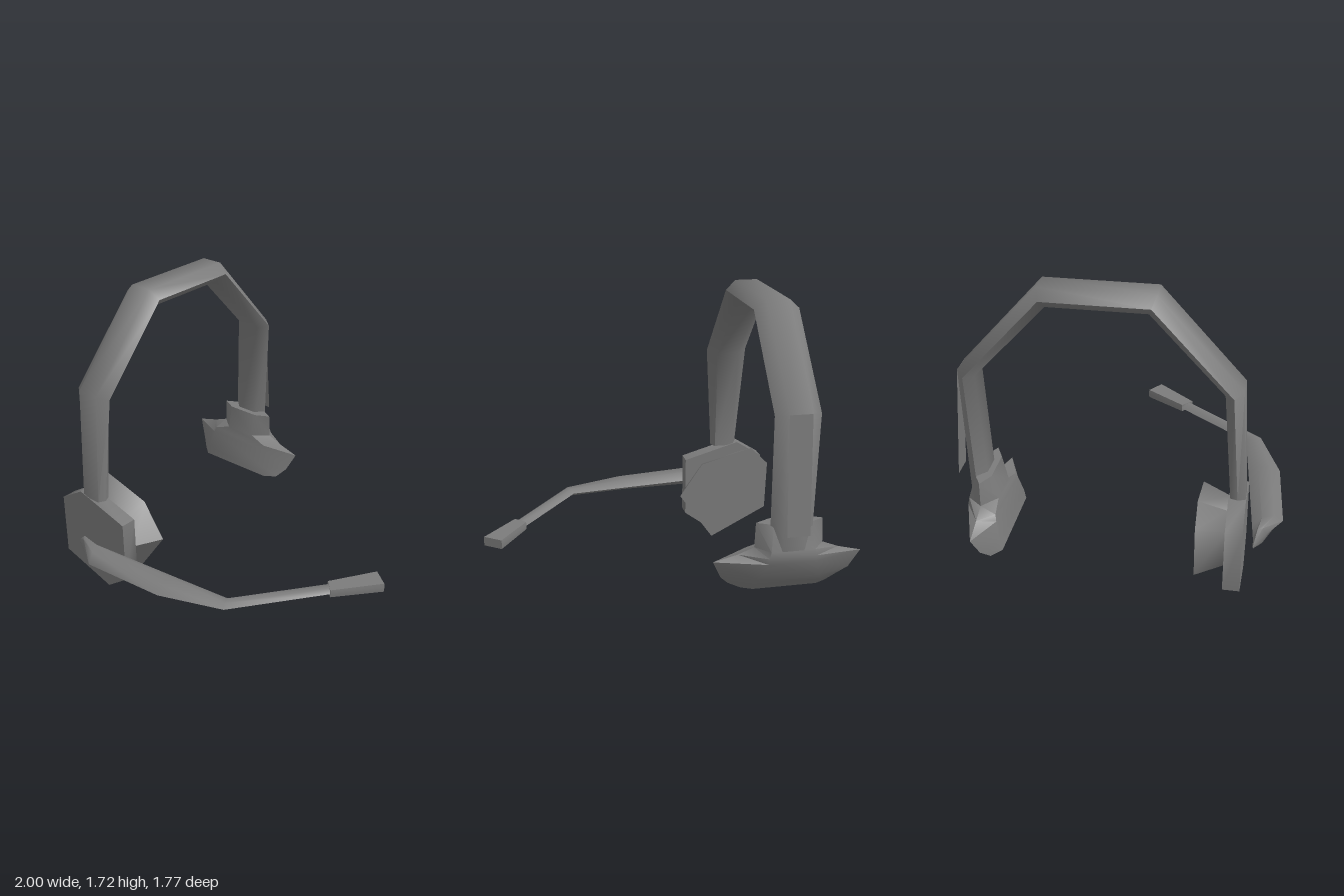
import * as THREE from 'three';
import { toCreasedNormals } from 'three/addons/utils/BufferGeometryUtils.js';

const CX = -0.585; // centre line of the headband

// Closed skin through a list of equal-sized rings of [x, y, z] points
function loft(rings, crease = 1.1) {
  const n = rings[0].length, pos = [];
  const tri = (a, b, c) => pos.push(...a, ...b, ...c);
  for (let i = 0; i + 1 < rings.length; i++) {
    for (let j = 0; j < n; j++) {
      const k = (j + 1) % n, a = rings[i], b = rings[i + 1];
      tri(a[j], a[k], b[k]);
      tri(a[j], b[k], b[j]);
    }
  }
  const last = rings[rings.length - 1];
  for (let j = 1; j + 1 < n; j++) {
    tri(rings[0][0], rings[0][j + 1], rings[0][j]);
    tri(last[0], last[j], last[j + 1]);
  }
  // Turn the faces outward if the rings were wound the other way
  let volume = 0;
  const v = (i) => new THREE.Vector3().fromArray(pos, i);
  for (let i = 0; i < pos.length; i += 9) volume += v(i).dot(v(i + 3).cross(v(i + 6)));
  if (volume < 0) {
    for (let i = 0; i < pos.length; i += 9) {
      for (let c = 3; c < 6; c++) [pos[i + c], pos[i + c + 3]] = [pos[i + c + 3], pos[i + c]];
    }
  }
  const g = new THREE.BufferGeometry();
  g.setAttribute('position', new THREE.Float32BufferAttribute(pos, 3));
  return toCreasedNormals(g, crease);
}

export function createModel() {
  const model = new THREE.Group();
  model.name = 'headset';
  const color = 0x7b7b7b;
  const material = new THREE.MeshStandardMaterial({ color });
  const add = (name, geometry, mat = material) => {
    const mesh = new THREE.Mesh(geometry, mat);
    mesh.name = name;
    model.add(mesh);
  };

  // Headband: outer z, y, inner z, y, half width, half width of the flat
  const band = [
    [0.68, 0.57, 0.60, 0.57, 0.08, 0.06],
    [0.645, 1.23, 0.55, 1.20, 0.125, 0.065],
    [0.20, 1.725, 0.16, 1.62, 0.125, 0.065],
    [-0.40, 1.725, -0.36, 1.62, 0.125, 0.065],
    [-0.842, 1.23, -0.75, 1.20, 0.125, 0.065],
    [-0.82, 0.46, -0.715, 0.46, 0.115, 0.06],
  ];
  add('headband', loft(band.map(([oz, oy, iz, iy, w, f]) => {
    const mz = (oz + iz) / 2, my = (oy + iy) / 2;
    return [
      [CX - f, oy, oz], [CX + f, oy, oz], [CX + w, my, mz],
      [CX + f, iy, iz], [CX - f, iy, iz], [CX - w, my, mz],
    ];
  })));

  // Thin strip leaning off the outside of the rear leg
  const strip = new THREE.PlaneGeometry(0.125, 0.65).rotateY(Math.PI).rotateX(0.07).translate(CX, 0.905, -0.866);
  add('rearLegStrip', strip, new THREE.MeshStandardMaterial({ color, side: THREE.DoubleSide }));

  // Front ear housing: a flat irregular hexagon
  const housing = [[-0.83, 0.49], [-0.67, 0.59], [-0.33, 0.49], [-0.33, 0.12], [-0.48, 0.01], [-0.83, 0.12]];
  add('earHousing', loft([0.59, 0.683].map((z) => housing.map(([x, y]) => [x, y, z]))));

  // Ear cushion flaring inward from the housing
  const cushion = [[-0.26, 0.305], [-0.40, 0.51], [-0.72, 0.60], [-0.83, 0.49], [-0.82, 0.19], [-0.47, 0.01]];
  add('earCushion', loft([[0.59, 0.74], [0.435, 1]].map(([z, s]) =>
    cushion.map(([x, y]) => [-0.545 + (x + 0.545) * s, 0.305 + (y - 0.305) * s, z]))));

  // Rear temple pad: y, tip half width, tip z, front half width, front z, back half width, back z
  const pad = [
    [0.61, 0.185, -0.735, 0.1, -0.69, 0.1, -0.78],
    [0.47, 0.19, -0.735, 0.1, -0.66, 0.12, -0.82],
    [0.435, 0.28, -0.735, 0.205, -0.65, 0.13, -0.825],
    [0.40, 0.413, -0.73, 0.22, -0.643, 0.13, -0.82],
    [0.29, 0.36, -0.70, 0.25, -0.62, 0.17, -0.77],
    [0.235, 0.31, -0.66, 0.25, -0.61, 0.2, -0.72],
    [0.205, 0.24, -0.67, 0.2, -0.65, 0.18, -0.70],
  ];
  add('templePad', loft(pad.map(([y, t, tz, f, fz, b, bz]) => [
    [CX - t, y, tz], [CX - f, y, fz], [CX + f, y, fz],
    [CX + t, y, tz], [CX + b, y, bz], [CX - b, y, bz],
  ]), 0.7));

  // Microphone boom: inner x, z, outer x, z, half height, bevel share, centre y
  const ring = ([ix, iz, ox, oz, h, bevel = 0.3, y = 0.302]) => {
    const at = (t, dy) => [ix + (ox - ix) * t, y + dy, iz + (oz - iz) * t];
    return [at(0, 0), at(bevel, h), at(1 - bevel, h), at(1, 0), at(1 - bevel, -h), at(bevel, -h)];
  };
  const boom = [
    [-0.65, 0.733, -0.64, 0.742, 0.012, 0.3, 0.285],
    [-0.60, 0.73, -0.55, 0.80, 0.05],
    [-0.48, 0.717, -0.41, 0.885, 0.045],
    [0.05, 0.66, 0.09, 0.845, 0.032],
    [0.40, 0.62, 0.45, 0.71, 0.022],
    [0.74, 0.17, 0.805, 0.235, 0.02],
  ];
  const tip = [
    [0.74, 0.17, 0.805, 0.235, 0.023, 0.03],
    [0.90, -0.075, 1.0, 0.0, 0.027, 0.03],
  ];
  add('microphoneBoom', loft(boom.map(ring)));
  add('microphoneTip', loft(tip.map(ring)));

  return model;
}
